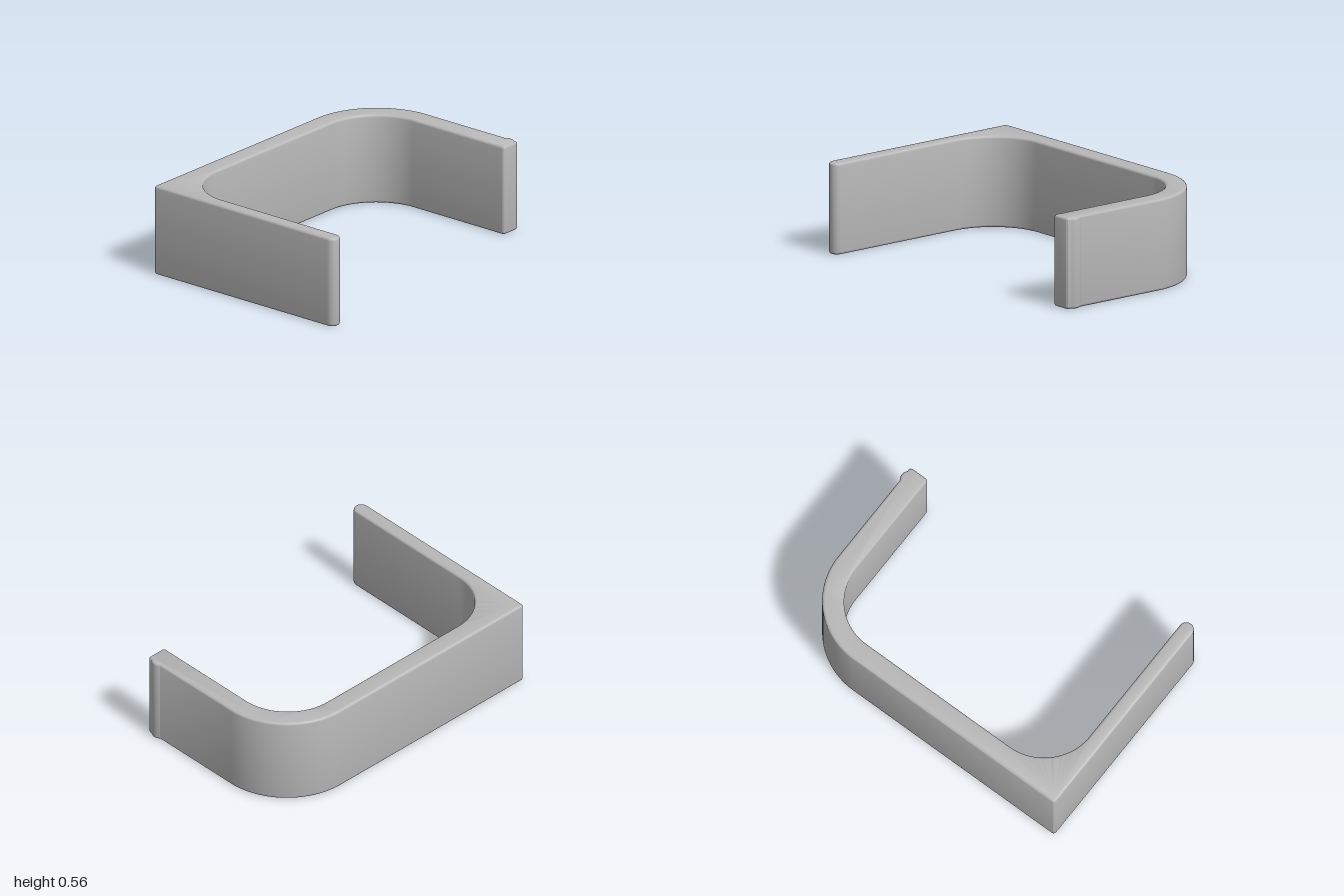
import * as THREE from 'three';
import { toCreasedNormals } from 'three/addons/utils/BufferGeometryUtils.js';

const HEIGHT = 0.565;
const BEVEL = 0.016;

// Plan outline of the clip; shape y points to the back (-z)
function clipOutline() {
  const s = new THREE.Shape();
  const q = Math.PI / 2;
  s.moveTo(0, -1);
  // front arm with a full-round tip
  s.absarc(0.658, -0.954, 0.046, -q, q, false);
  // inner corners
  s.absarc(-0.236, -0.566, 0.342, -q, -2 * q, true);
  s.absarc(-0.236, 0.51, 0.342, 2 * q, q, true);
  // back arm tip
  s.absarc(0.459, 0.87, 0.018, -q, 0, false);
  s.absarc(0.457, 0.965, 0.02, 0, q, false);
  // small catch ridge on the outside of the back arm
  s.lineTo(0.448, 0.985);
  s.quadraticCurveTo(0.41, 1.015, 0.372, 0.985);
  // outer rounded corner, then the sharp front corner
  s.absarc(-0.236, 0.517, 0.468, q, 2 * q, false);
  s.absarc(-0.684, -0.98, 0.02, 2 * q, 3 * q, false);
  s.closePath();
  return s;
}

export function createModel() {
  const group = new THREE.Group();
  group.name = 'clipBracket';

  const grey = new THREE.MeshStandardMaterial({ color: 0xb8b8b8 });
  grey.name = 'grey plastic';

  // C-shaped body with softened top and bottom edges
  const geometry = new THREE.ExtrudeGeometry(clipOutline(), {
    depth: HEIGHT - 2 * BEVEL,
    bevelEnabled: true,
    bevelThickness: BEVEL,
    bevelSize: BEVEL,
    bevelOffset: -BEVEL,
    bevelSegments: 4,
    curveSegments: 24,
  });
  geometry.rotateX(-Math.PI / 2);
  geometry.translate(0, BEVEL, 0);

  const body = new THREE.Mesh(toCreasedNormals(geometry, 0.6), grey);
  body.name = 'clipBody';
  group.add(body);
  return group;
}
